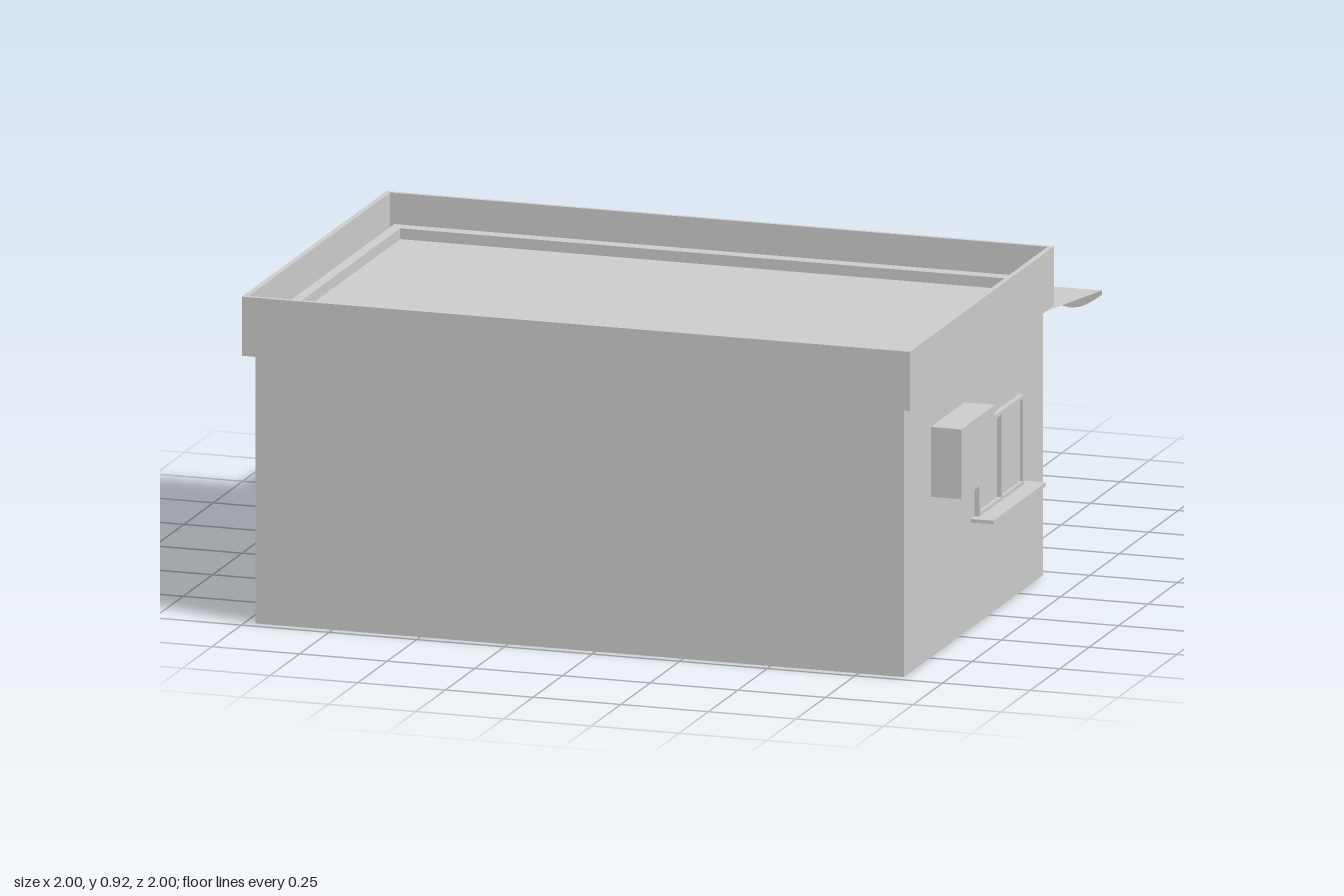
import * as THREE from 'three';

export function createModel() {
  const model = new THREE.Group();
  const mat = new THREE.MeshStandardMaterial({ color: 0xcccccc, flatShading: true });
  const thin = new THREE.MeshStandardMaterial({ color: 0xcccccc, flatShading: true, side: THREE.DoubleSide });

  function add(name, geometry, parent = model, material = mat) {
    const mesh = new THREE.Mesh(geometry, material);
    mesh.name = name;
    parent.add(mesh);
    return mesh;
  }
  // Box given by its limits on each axis
  function box(name, x0, x1, y0, y1, z0, z1, parent) {
    const g = new THREE.BoxGeometry(x1 - x0, y1 - y0, z1 - z0);
    g.translate((x0 + x1) / 2, (y0 + y1) / 2, (z0 + z1) / 2);
    return add(name, g, parent);
  }
  const rect = (Type, x0, x1, y0, y1) => new Type([
    [x0, y0], [x1, y0], [x1, y1], [x0, y1],
  ].map(([x, y]) => new THREE.Vector2(x, y)));
  // Horizontal rectangular ring; limits are [x0, x1, z0, z1]
  function ring(name, outer, inner, y0, y1) {
    const flip = ([x0, x1, z0, z1]) => [x0, x1, -z1, -z0];
    const s = rect(THREE.Shape, ...flip(outer));
    s.holes.push(rect(THREE.Path, ...flip(inner)));
    const g = new THREE.ExtrudeGeometry(s, { depth: y1 - y0, bevelEnabled: false });
    g.rotateX(-Math.PI / 2).translate(0, y0, 0);
    return add(name, g);
  }

  // Building, with a doorway recessed into the back wall
  const L = -0.97, R = 0.88, B = -0.21, F = 0.97, recess = 0.05;
  const doorL = -0.35, doorR = 0.335, doorTop = 0.59;
  box('body', L, R, 0, 0.8, B + recess, F);
  const wall = new THREE.Shape([
    [L, 0], [doorL, 0], [doorL, doorTop], [doorR, doorTop], [doorR, 0], [R, 0], [R, 0.8], [L, 0.8],
  ].map(([x, y]) => new THREE.Vector2(x, y)));
  add('backWall', new THREE.ExtrudeGeometry(wall, { depth: recess, bevelEnabled: false }).translate(0, 0, B));
  ring('wallTop', [L, R, B, F], [-0.94, 0.835, -0.17, 0.905], 0.8, 0.83);
  ring('parapet', [-1, 0.905, -0.23, 0.995], [-0.985, 0.89, -0.218, 0.982], 0.75, 0.915);

  // Doorway: plain leaf with a knob, and a barred leaf beside it
  const doorway = new THREE.Group();
  doorway.name = 'doorway';
  model.add(doorway);
  const zBack = B + recess;
  box('doorLeaf', -0.1, doorR, 0, doorTop, zBack - 0.02, zBack, doorway);
  add('doorKnob', new THREE.SphereGeometry(0.025, 10, 8), doorway).position.set(0.29, 0.32, zBack - 0.035);
  for (const [x0, x1] of [[doorL, doorL + 0.03], [-0.13, -0.1]]) {
    box('barredLeafPost', x0, x1, 0, doorTop, zBack - 0.015, zBack, doorway);
  }
  for (let i = 0; i < 7; i++) {
    const y = i * 0.095;
    box('doorBar', doorL + 0.03, -0.13, y, y + 0.02, zBack - 0.015, zBack, doorway);
  }

  // Side window: frame, two sliding panes and sill
  const sideWindow = new THREE.Group();
  sideWindow.name = 'sideWindow';
  model.add(sideWindow);
  const w = { z0: -0.005, z1: 0.373, y0: 0.305, y1: 0.555, t: 0.01, out: 0.895 };
  for (const z of [w.z0, (w.z0 + w.z1 - w.t) / 2, w.z1 - w.t]) {
    box('windowUpright', R, w.out, w.y0, w.y1, z, z + w.t, sideWindow);
  }
  for (const y of [w.y0, w.y1 - w.t]) box('windowRail', R, w.out, y, y + w.t, w.z0, w.z1, sideWindow);
  box('rearPane', R, R + 0.006, w.y0, w.y1, w.z0, 0.184, sideWindow);
  box('frontPane', R, R + 0.003, w.y0, w.y1, 0.184, w.z1, sideWindow);
  box('windowSill', R, 0.945, 0.295, 0.305, -0.04, 0.405, sideWindow);

  // Cooling unit beside the window
  box('coolingUnit', 0.908, 0.995, 0.47, 0.665, 0.54, 0.825);

  // Awning: sloped sheet with a scalloped valance
  const ax0 = -0.94, ax1 = 0.85, az = -0.8, drop = 0.65, scallops = 10;
  const slope = Math.hypot(az - B, 0.72 - drop);
  const sheet = new THREE.PlaneGeometry(ax1 - ax0, slope);
  sheet.rotateX(-Math.PI / 2 - Math.atan2(0.72 - drop, az - B) + Math.PI);
  // Place the sheet's four corners on the wall line and the front edge
  const p = sheet.attributes.position;
  for (let i = 0; i < p.count; i++) {
    const atWall = i < 2;
    p.setXYZ(i, i % 2 ? ax0 : ax1, atWall ? 0.72 : drop, atWall ? B : az);
  }
  sheet.computeVertexNormals();
  add('awning', sheet, model, thin);
  const valance = new THREE.Shape();
  valance.moveTo(ax1, drop);
  valance.lineTo(ax0, drop);
  valance.lineTo(ax0, 0.638);
  const step = (ax1 - ax0) / scallops;
  for (let i = 0; i < scallops; i++) {
    for (let k = 1; k <= 8; k++) {
      valance.lineTo(ax0 + step * (i + k / 8), 0.638 - 0.043 * Math.sin(Math.PI * k / 8));
    }
  }
  add('awningValance', new THREE.ShapeGeometry(valance), model, thin).position.z = az;

  // Two octagonal tables
  for (const x of [-0.587, 0.43]) {
    const table = new THREE.Group();
    table.name = 'table';
    table.position.set(x, 0, -0.74);
    for (const [name, r, y0, y1] of [
      ['tableTop', 0.26, 0.265, 0.285], ['tableLeg', 0.035, 0.03, 0.265], ['tableBase', 0.06, 0.015, 0.03],
    ]) {
      add(name, new THREE.CylinderGeometry(r, r, y1 - y0, 8), table).position.y = (y0 + y1) / 2;
    }
    model.add(table);
  }
  return model;
}
